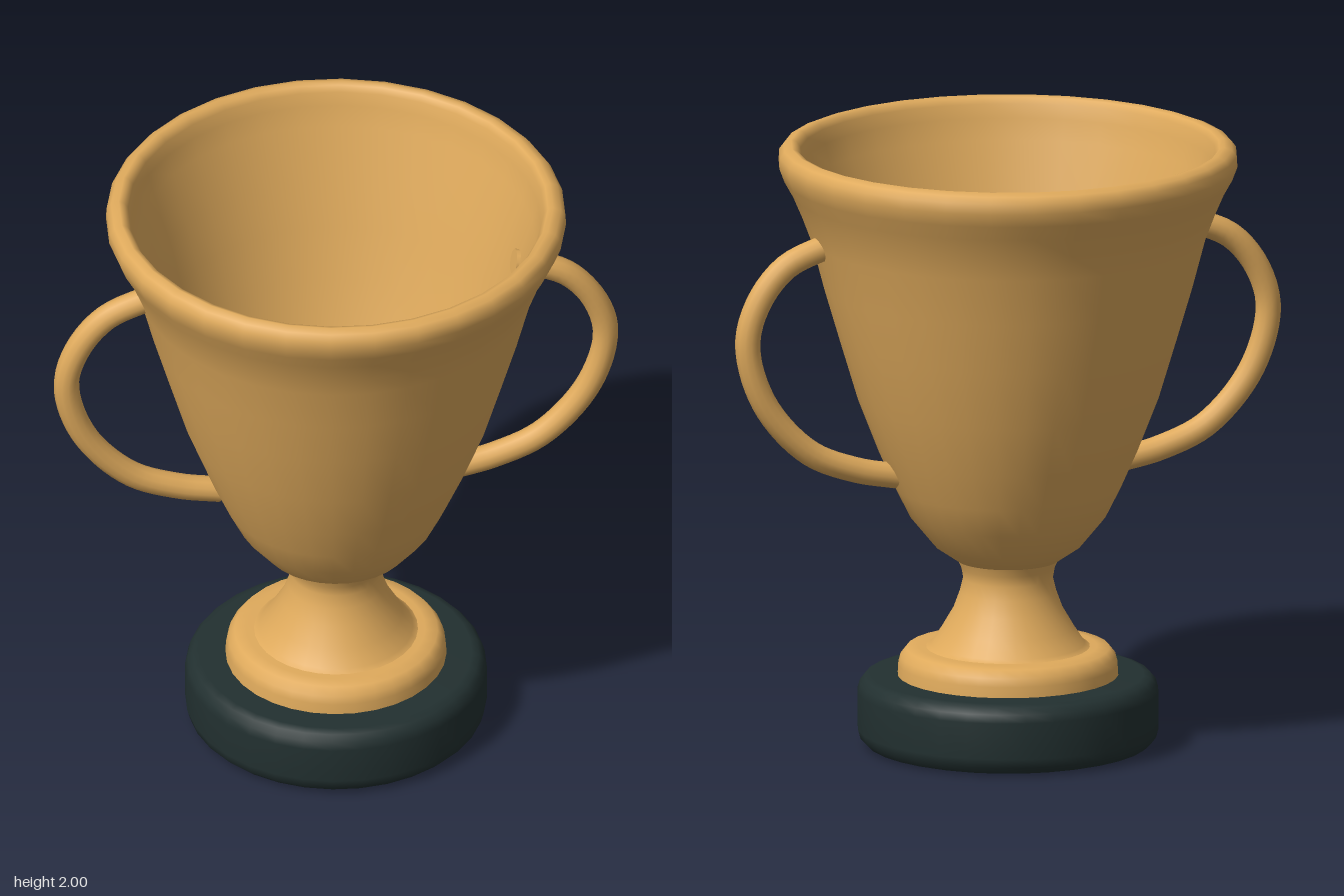
import * as THREE from 'three';

const gold = new THREE.MeshStandardMaterial({ color: 0xdfaa5c });
gold.name = 'gold';
const black = new THREE.MeshStandardMaterial({ color: 0x223030 });
black.name = 'blackBase';

// Smooth turned part from [radius, height] pairs, listed bottom to top outside
function turned(name, profile, material) {
  const points = profile.map(([r, y]) => new THREE.Vector2(r, y));
  const mesh = new THREE.Mesh(new THREE.LatheGeometry(points, 32), material);
  mesh.name = name;
  return mesh;
}

// Curved handle on one side, with closed ends
function handle(name, side) {
  const group = new THREE.Group();
  group.name = name;
  const path = new THREE.CatmullRomCurve3([
    [0.585, 1.705], [0.65, 1.69], [0.76, 1.64], [0.85, 1.53], [0.888, 1.39],
    [0.83, 1.19], [0.68, 1.02], [0.52, 0.95], [0.38, 0.92],
  ].map(([x, y]) => new THREE.Vector3(side * x, y, 0)));
  const radius = 0.042;
  const tube = new THREE.Mesh(new THREE.TubeGeometry(path, 40, radius, 12), gold);
  tube.name = name + 'Tube';
  group.add(tube);
  for (const t of [0, 1]) {
    const cap = new THREE.Mesh(new THREE.CircleGeometry(radius, 12), gold);
    cap.name = name + 'Cap';
    const outward = path.getTangent(t).multiplyScalar(t ? 1 : -1);
    cap.position.copy(path.getPoint(t));
    cap.quaternion.setFromUnitVectors(new THREE.Vector3(0, 0, 1), outward);
    group.add(cap);
  }
  return group;
}

export function createModel() {
  const model = new THREE.Group();
  model.name = 'trophyCup';

  // Dark plinth with rounded edges
  model.add(turned('plinth', [
    [0, 0], [0.43, 0], [0.46, 0.008], [0.482, 0.03], [0.49, 0.06],
    [0.49, 0.18], [0.482, 0.207], [0.465, 0.227], [0.44, 0.235], [0, 0.235],
  ], black));

  // Stepped foot
  model.add(turned('foot', [
    [0.36, 0.22], [0.357, 0.27], [0.35, 0.297], [0.33, 0.322], [0.29, 0.327], [0.2, 0.328],
  ], gold));

  // Waisted stem
  model.add(turned('stem', [
    [0.27, 0.325], [0.25, 0.337], [0.215, 0.39], [0.177, 0.455],
    [0.157, 0.51], [0.146, 0.555], [0.152, 0.59], [0.167, 0.625],
  ], gold));

  // Hollow bowl: outside up, over the rolled rim, down the inside
  model.add(turned('bowl', [
    [0.13, 0.607], [0.167, 0.617], [0.24, 0.667], [0.318, 0.762], [0.367, 0.86],
    [0.422, 0.985], [0.49, 1.16], [0.55, 1.36], [0.6, 1.53], [0.642, 1.69],
    [0.672, 1.77], [0.702, 1.84], [0.73, 1.89], [0.747, 1.935], [0.745, 1.97],
    [0.73, 1.99], [0.705, 2], [0.688, 1.994], [0.675, 1.975], [0.665, 1.93],
    [0.647, 1.86], [0.592, 1.69], [0.55, 1.53], [0.5, 1.36], [0.44, 1.16],
    [0.373, 0.985], [0.32, 0.87], [0.26, 0.79], [0.19, 0.735], [0.1, 0.71], [0, 0.7],
  ], gold));

  // Pair of handles
  model.add(handle('leftHandle', 1), handle('rightHandle', -1));
  return model;
}
